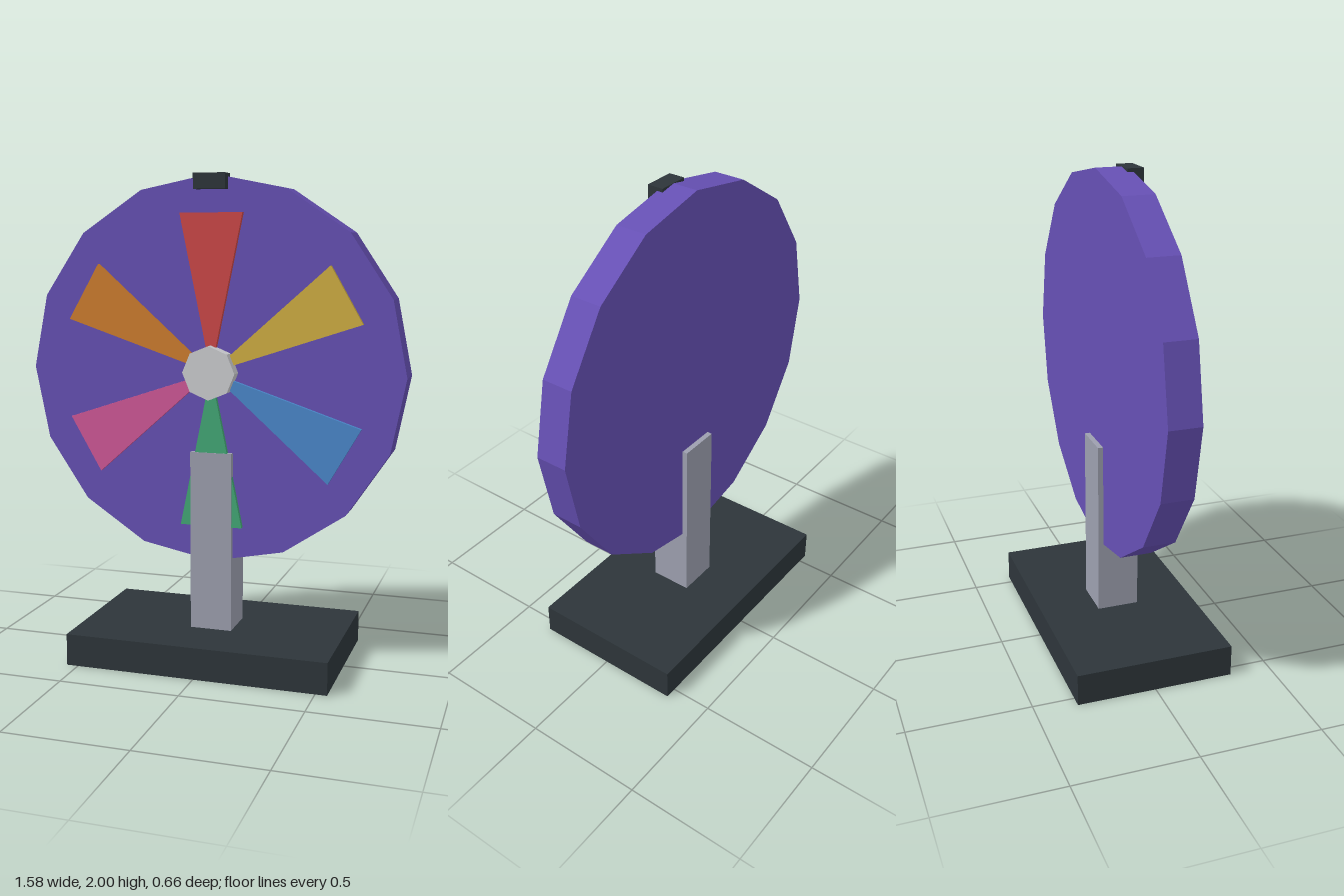
import * as THREE from 'three';

function paint(name, color) {
  const m = new THREE.MeshStandardMaterial({ color });
  m.name = name;
  m.flatShading = true;
  return m;
}

export function createModel() {
  const group = new THREE.Group();
  const charcoal = paint('charcoal', 0x2d353a);
  const steel = paint('steel grey', 0x9c9fae);
  const purple = paint('purple', 0x6650b4);
  const silver = paint('silver', 0xcccdd0);
  const centreY = 1.21;

  const add = (name, geometry, material, x, y, z) => {
    const mesh = new THREE.Mesh(geometry, material);
    mesh.name = name;
    mesh.position.set(x, y, z);
    group.add(mesh);
    return mesh;
  };
  // Disc-like prism facing the front
  const prism = (radius, depth, sides) =>
    new THREE.CylinderGeometry(radius, radius, depth, sides).rotateX(Math.PI / 2);

  // Stand
  add('base', new THREE.BoxGeometry(1.096, 0.132, 0.656), charcoal, 0, 0.066, 0);
  add('post', new THREE.BoxGeometry(0.176, 0.78, 0.176), steel, 0, 0.49, 0);

  // Wheel, hub and pointer
  add('wheel', prism(0.789, 0.132, 16), purple, 0, centreY, 0);
  add('hub', prism(0.11, 0.06, 8), silver, 0, centreY, 0.091);
  add('pointer', new THREE.BoxGeometry(0.132, 0.062, 0.068), charcoal, 0, 1.969, 0.075);

  // Six coloured wedges, clockwise from the top
  const wedge = new THREE.Shape([
    new THREE.Vector2(0, 0),
    new THREE.Vector2(0.131, 0.637),
    new THREE.Vector2(-0.131, 0.637),
  ]);
  const wedgeGeometry = new THREE.ExtrudeGeometry(wedge, { depth: 0.026, bevelEnabled: false });
  const wedgeColors = [
    ['red', 0xcc4848], ['yellow', 0xcfae43], ['blue', 0x4a87ca],
    ['green', 0x43a876], ['pink', 0xd05898], ['orange', 0xce7d2f],
  ];
  wedgeColors.forEach(([name, color], i) => {
    const mesh = add(name + 'Wedge', wedgeGeometry, paint(name, color), 0, centreY, 0.06);
    mesh.rotation.z = -i * Math.PI / 3;
  });

  return group;
}
